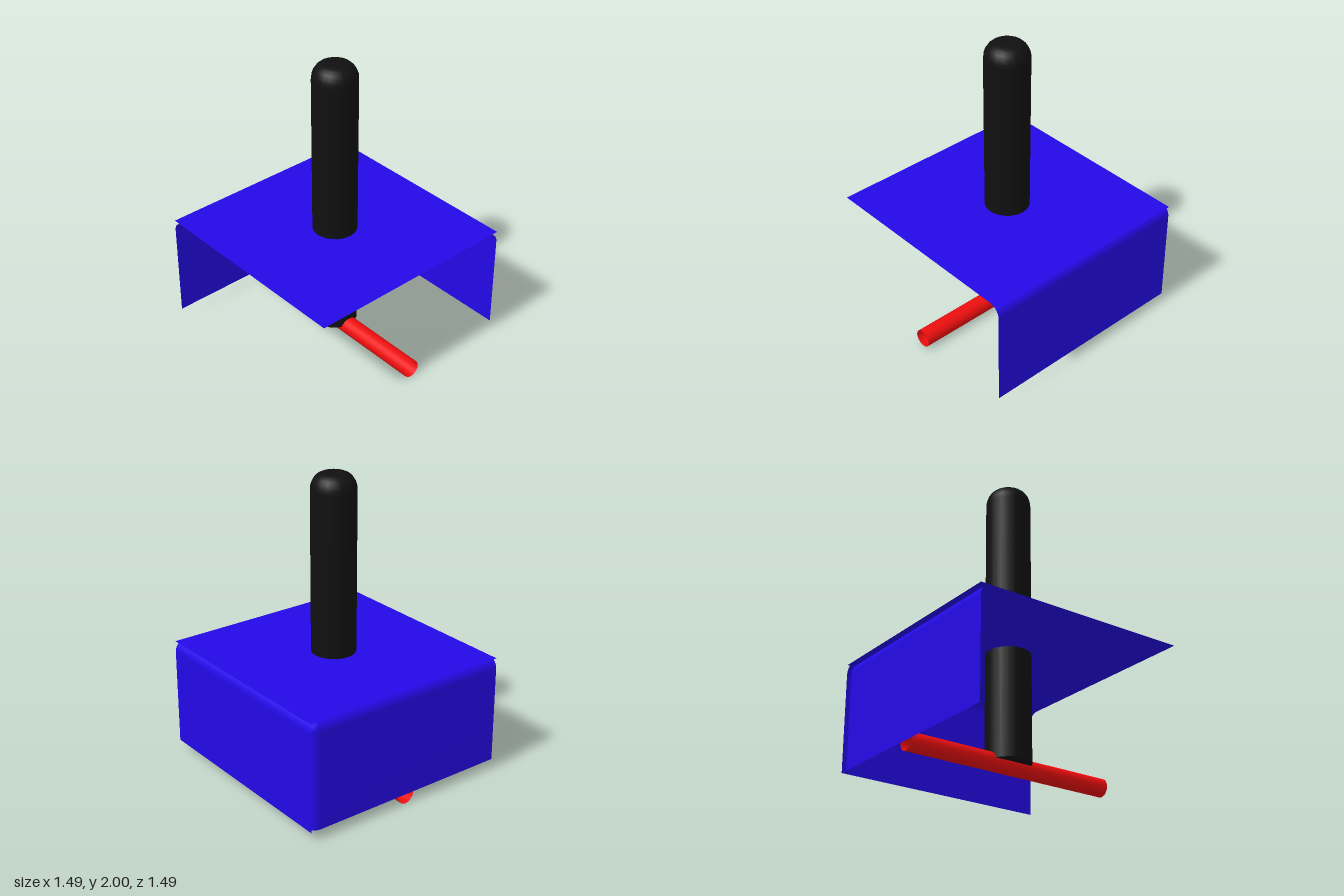
import * as THREE from 'three';

const HALF = 0.745;          // half width of the square cover
const TOP = 0.8, BOTTOM = 0.065;
const BEND = 0.075;          // radius of the folded edges
const STEPS = 8;             // segments per fold

const material = (color) => new THREE.MeshStandardMaterial({ color, side: THREE.DoubleSide });

function addPart(group, name, geometry, mat) {
  const mesh = new THREE.Mesh(geometry, mat);
  mesh.name = name;
  group.add(mesh);
  return mesh;
}

// Sheet swept along a plan path; its upper edge folds inward to the top.
// Each path station is { x, z, nx, nz }: the fold centre and outward direction.
function foldedWall(path) {
  const profile = [[BEND, BOTTOM]];
  for (let i = 0; i <= STEPS; i++) {
    const a = (i / STEPS) * Math.PI / 2;
    profile.push([BEND * Math.cos(a), TOP - BEND + BEND * Math.sin(a)]);
  }
  const cols = path.length, rows = profile.length;
  const geo = new THREE.PlaneGeometry(1, 1, cols - 1, rows - 1);
  const pos = geo.attributes.position;
  for (let r = 0; r < rows; r++) {
    const [out, y] = profile[rows - 1 - r];
    path.forEach((p, c) => pos.setXYZ(r * cols + c, p.x + p.nx * out, y, p.z + p.nz * out));
  }
  geo.computeVertexNormals();
  return geo;
}

export function createModel() {
  const model = new THREE.Group();
  model.name = 'coveredPost';
  const blue = material(0x2409e6), black = material(0x101010), red = material(0xee0e0e);
  const inner = HALF - BEND;

  // Cover: flat square top, full-width back wall, side wall turning the back corner
  const cover = new THREE.Group();
  cover.name = 'cover';
  model.add(cover);
  const top = new THREE.PlaneGeometry(HALF * 2, HALF * 2).rotateX(-Math.PI / 2);
  addPart(cover, 'topPlate', top.translate(0, TOP, 0), blue);

  addPart(cover, 'backWall', foldedWall([
    { x: HALF, z: -inner, nx: 0, nz: -1 },
    { x: -HALF, z: -inner, nx: 0, nz: -1 },
  ]), blue);

  const sidePath = [];
  for (let i = 0; i <= STEPS; i++) {
    const a = (i / STEPS) * Math.PI / 2;
    sidePath.push({ x: -inner, z: -inner, nx: -Math.sin(a), nz: -Math.cos(a) });
  }
  sidePath.push({ x: -inner, z: HALF, nx: -1, nz: 0 });
  addPart(cover, 'sideWall', foldedWall(sidePath), blue);

  // Upright post with a rounded tip
  const profile = [new THREE.Vector2(0, 0.07), new THREE.Vector2(0.148, 0.07), new THREE.Vector2(0.148, 0.07)];
  for (let i = 0; i <= 6; i++) {
    const a = (i / 6) * Math.PI / 2;
    profile.push(new THREE.Vector2(0.058 + 0.09 * Math.cos(a), 1.893 + 0.107 * Math.sin(a)));
  }
  profile.push(new THREE.Vector2(0, 2));
  addPart(model, 'post', new THREE.LatheGeometry(profile, 20), black);

  // Open tube crossing the foot of the post
  const tube = new THREE.CylinderGeometry(0.06, 0.06, HALF * 2, 20, 1, true);
  addPart(model, 'crossTube', tube.rotateZ(Math.PI / 2).translate(0, 0.06, 0), red);

  return model;
}
